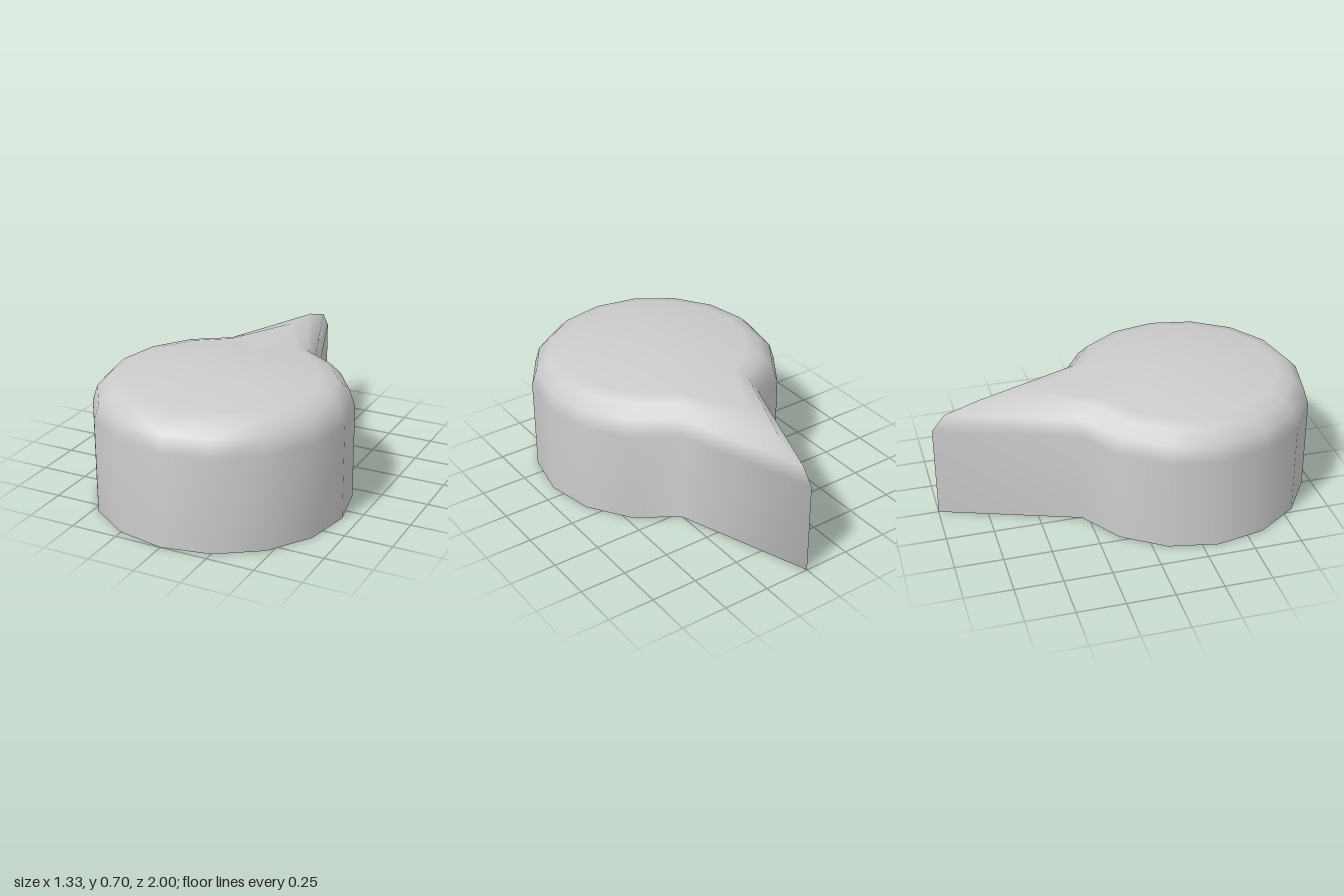
import * as THREE from 'three';
import { mergeVertices } from 'three/addons/utils/BufferGeometryUtils.js';

const SIDES = 16;
const CENTRE_Z = 1 / 3;

// Rings from the open rim to the flat top: round radius, pointer reach, height
const RINGS = [
  [0.667, 1.333, 0],
  [0.667, 1.333, 0.5],
  [0.64, 1.265, 0.585],
  [0.58, 1.08, 0.645],
  [0.5, 0.83, 0.667],
  [0.5, 0.5, 0.667], // the pointer's top runs level into the dome here
  [0.25, 0.25, 0.697],
  [0, 0, 0.697],
];

// Sixteen-sided shell whose rearmost corner is drawn out into a pointer
function shellGeometry() {
  const positions = [];
  const index = [];
  for (const [radius, reach, y] of RINGS) {
    for (let i = 0; i < SIDES; i++) {
      const angle = (i / SIDES) * Math.PI * 2;
      const r = i === 0 ? reach : radius;
      positions.push(r * Math.sin(angle), y, CENTRE_Z - r * Math.cos(angle));
    }
  }
  for (let k = 0; k < RINGS.length - 1; k++) {
    for (let i = 0; i < SIDES; i++) {
      const a = k * SIDES + i;
      const b = k * SIDES + ((i + 1) % SIDES);
      const c = a + SIDES;
      const d = b + SIDES;
      // Mirror the diagonals so both halves match
      if (i < SIDES / 2) index.push(a, c, b, b, c, d);
      else index.push(a, d, b, a, c, d);
    }
  }
  const geometry = new THREE.BufferGeometry();
  geometry.setAttribute('position', new THREE.Float32BufferAttribute(positions, 3));
  geometry.setIndex(index);
  const merged = mergeVertices(geometry, 1e-4);
  merged.computeVertexNormals();
  return merged;
}

export function createModel() {
  const group = new THREE.Group();
  group.name = 'pointerKnob';
  const material = new THREE.MeshStandardMaterial({ color: 0xcccccc, side: THREE.DoubleSide });
  const shell = new THREE.Mesh(shellGeometry(), material);
  shell.name = 'knobShell';
  group.add(shell);
  return group;
}
